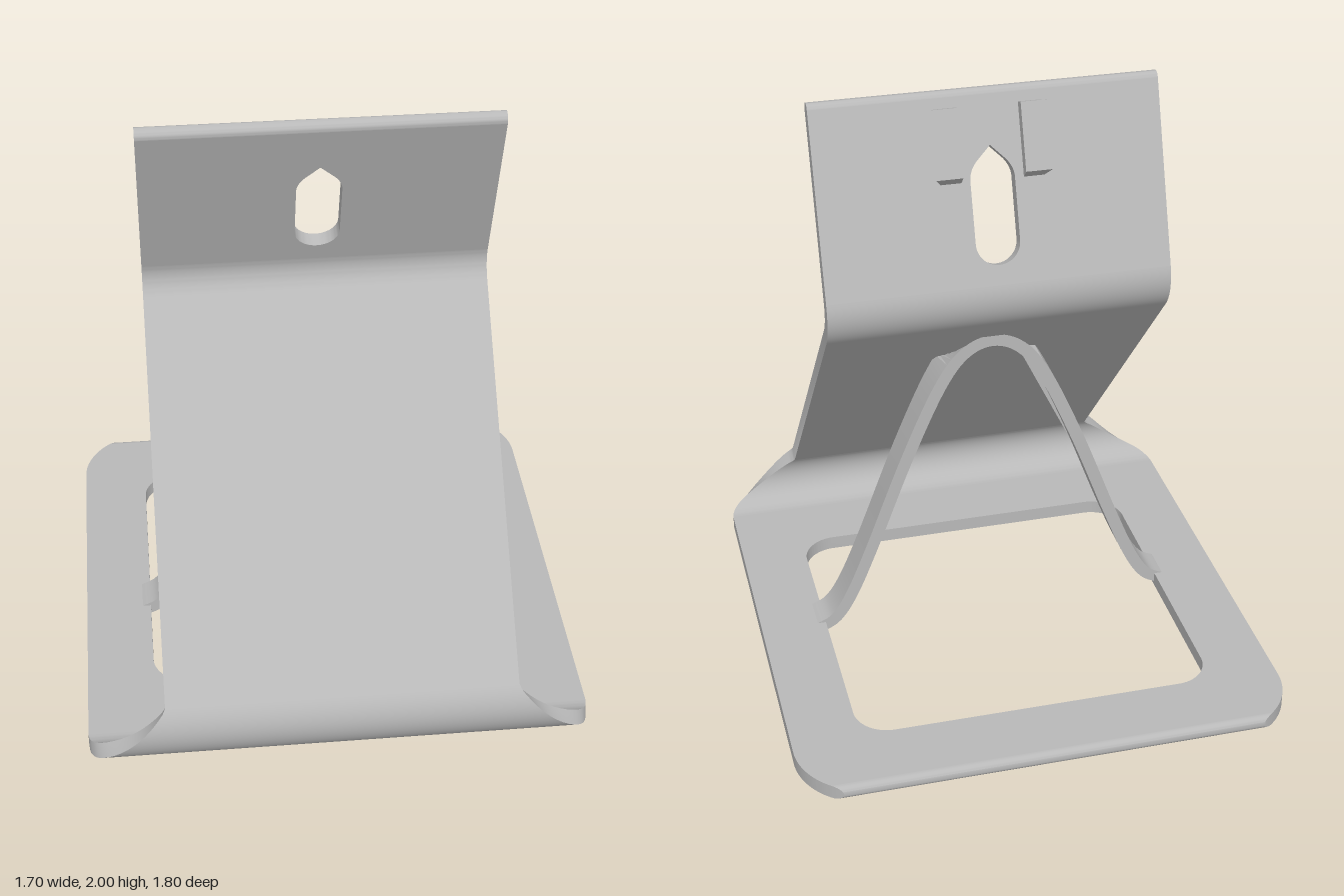
import * as THREE from 'three';
import { toCreasedNormals } from 'three/addons/utils/BufferGeometryUtils.js';

const RAD = Math.PI / 180;
const T = 0.025;            // half sheet thickness
const HALF = 0.585;         // half width of the upright panel
const LEAN = 42.3, TILT = -20; // facing angles of the lower and upper panels

const grey = new THREE.MeshStandardMaterial({ color: 0xb8b8b8 });
grey.name = 'brushed grey';

function part(name, geometry, crease = 0.6) {
  const flat = geometry.index ? geometry.toNonIndexed() : geometry;
  const mesh = new THREE.Mesh(toCreasedNormals(flat, crease), grey);
  mesh.name = name;
  return mesh;
}

// One rectangular cross-section of the sheet; angle is where its outer face points
function section(z, y, angle, w, t = T) {
  const dz = Math.cos(angle * RAD) * t, dy = Math.sin(angle * RAD) * t;
  return [[-w, y + dy, z + dz], [w, y + dy, z + dz], [w, y - dy, z - dz], [-w, y - dy, z - dz]];
}

function loft(sections) {
  const index = [];
  for (let k = 0; k < sections.length - 1; k++) {
    for (let j = 0; j < 4; j++) {
      const a = k * 4 + j, b = k * 4 + (j + 1) % 4;
      index.push(a, b, b + 4, a, b + 4, a + 4);
    }
  }
  const e = (sections.length - 1) * 4;
  index.push(0, 2, 1, 0, 3, 2, e, e + 1, e + 2, e, e + 2, e + 3);
  const g = new THREE.BufferGeometry();
  g.setAttribute('position', new THREE.Float32BufferAttribute(sections.flat(2), 3));
  g.setIndex(index);
  return g;
}

function roundedHole(x, y0, y1, r) {
  const p = new THREE.Path();
  p.moveTo(x - r, y0);
  p.absarc(-x + r, y0 + r, r, -Math.PI / 2, -Math.PI, true);
  p.absarc(-x + r, y1 - r, r, Math.PI, Math.PI / 2, true);
  p.absarc(x - r, y1 - r, r, Math.PI / 2, 0, true);
  p.absarc(x - r, y0 + r, r, 0, -Math.PI / 2, true);
  return p;
}

function createBase() {
  const group = new THREE.Group();
  group.name = 'base';
  // Flat frame with rounded rear corners and a large opening
  const cx = 0.6, cy = 0.68, r = 0.25, back = 0.875;
  const end = Math.asin((back - cy) / r);
  const s = new THREE.Shape();
  s.moveTo(-0.85, -0.75);
  s.lineTo(0.85, -0.75);
  s.absarc(cx, cy, r, 0, end, false);
  s.absarc(-cx, cy, r, Math.PI - end, Math.PI, false);
  s.closePath();
  s.holes.push(roundedHole(0.62, -0.52, 0.65, 0.12));
  const g = new THREE.ExtrudeGeometry(s, { depth: 2 * T, bevelEnabled: false, curveSegments: 20 });
  g.rotateX(-Math.PI / 2);
  group.add(part('baseFrame', g));

  // Half-round rear edge
  const rim = [];
  for (let i = 0; i <= 8; i++) {
    const a = (1 - i / 8) * 89 * RAD, d = T * Math.sin(a);
    const w = cx + Math.sqrt(r * r - (back + d - cy) ** 2);
    rim.push(section(-back - d, T, -90, w, T * Math.cos(a)));
  }
  group.add(part('baseRearEdge', loft(rim)));
  return group;
}

function createPanel() {
  const group = new THREE.Group();
  group.name = 'panel';

  // Flared front bend, leaning panel and upper bend as one sheet
  const flare = new THREE.SplineCurve([[-90, 0.85], [-70, 0.84], [-45, 0.8], [0, 0.675], [30, 0.605], [LEAN, 0.588]]
    .map(([a, w]) => new THREE.Vector2(a, w)));
  const rings = flare.getPoints(30).map(({ x: a, y: w }) =>
    section(0.75 + 0.13 * Math.cos(a * RAD), 0.155 + 0.13 * Math.sin(a * RAD), a, w));
  const cz = 0.027, cy = 1.34, r = 0.132;
  let top;
  for (let i = 0; i <= 14; i++) {
    const a = LEAN + (TILT - LEAN) * i / 14;
    top = [cz - r * Math.cos(a * RAD), cy - r * Math.sin(a * RAD)];
    rings.push(section(top[0], top[1], a, HALF));
  }
  group.add(part('leaningPanel', loft(rings)));

  // Upper panel, built upright then tilted
  const upper = new THREE.Group();
  upper.name = 'upperPanel';
  upper.position.set(0, top[1], top[0]);
  upper.rotation.x = -TILT * RAD;
  group.add(upper);

  const L = 0.628;
  const s = new THREE.Shape();
  s.moveTo(-HALF, 0);
  s.lineTo(HALF, 0);
  s.lineTo(HALF, L);
  s.lineTo(-HALF, L);
  s.closePath();
  // Pointed keyhole slot
  const slot = new THREE.Path();
  slot.moveTo(-0.075, 0.355);
  slot.lineTo(-0.075, 0.143);
  slot.absarc(0, 0.143, 0.075, Math.PI, 2 * Math.PI, false);
  slot.lineTo(0.075, 0.355);
  slot.quadraticCurveTo(0.073, 0.385, 0.05, 0.412);
  slot.lineTo(0, 0.462);
  slot.lineTo(-0.05, 0.412);
  slot.quadraticCurveTo(-0.073, 0.385, -0.075, 0.355);
  s.holes.push(slot);
  const plate = new THREE.ExtrudeGeometry(s, { depth: 2 * T, bevelEnabled: false, curveSegments: 16 });
  plate.translate(0, 0, -T);
  upper.add(part('slottedPlate', plate));

  // Rounded top edge
  const tip = [];
  for (let i = 0; i <= 8; i++) {
    const a = i / 8 * 89 * RAD;
    tip.push(section(0, L + T * Math.sin(a), 0, HALF, T * Math.cos(a)));
  }
  upper.add(part('topEdge', loft(tip)));

  // Pair of rear tabs with a sloping underside and undercut outer side
  for (const side of [-1, 1]) {
    const p = new THREE.Shape([[T, 0.348], [T + 0.037, 0.366], [T + 0.037, 0.593], [T, 0.593]]
      .map(([x, y]) => new THREE.Vector2(x, y)));
    const g = new THREE.ExtrudeGeometry(p, { depth: 0.09, bevelEnabled: false });
    g.rotateY(Math.PI / 2);
    g.translate(side > 0 ? 0.105 : -0.195, 0, 0);
    const pos = g.attributes.position;
    for (let i = 0; i < pos.count; i++) {
      if (Math.abs(pos.getX(i)) > 0.15 && pos.getZ(i) > -T - 0.01) pos.setX(i, side * 0.175);
    }
    upper.add(part(side > 0 ? 'leftTab' : 'rightTab', g, 0.2));
  }
  return group;
}

function createArch() {
  // Bell-shaped strip bracing the back of the panel
  const half = [[0.64, 0.03], [0.58, 0.065], [0.52, 0.16], [0.44, 0.35], [0.31, 0.69], [0.19, 0.96], [0.1, 1.085]];
  const points = [...half, [0, 1.125], ...half.map(([x, y]) => [-x, y]).reverse()]
    .map(([x, y]) => new THREE.Vector2(x, y));
  const curve = new THREE.SplineCurve(points);
  const outer = [], inner = [];
  for (let i = 0; i <= 84; i++) {
    const p = curve.getPoint(i / 84), t = curve.getTangent(i / 84);
    const n = new THREE.Vector2(t.y, -t.x).multiplyScalar(0.022);
    outer.push(p.clone().add(n));
    inner.unshift(p.clone().sub(n));
  }
  const g = new THREE.ExtrudeGeometry(new THREE.Shape([...outer, ...inner]), { depth: 0.12, bevelEnabled: false });
  g.translate(0, 0, -0.005);
  // Trim the crown along the sloping panel
  const pos = g.attributes.position;
  for (let i = 0; i < pos.count; i++) {
    const limit = 1.155 - 1.1 * pos.getZ(i);
    pos.setY(i, Math.min(pos.getY(i), limit));
  }
  return part('supportArch', g);
}

export function createModel() {
  const model = new THREE.Group();
  model.name = 'stand';
  model.add(createBase(), createPanel(), createArch());
  return model;
}
